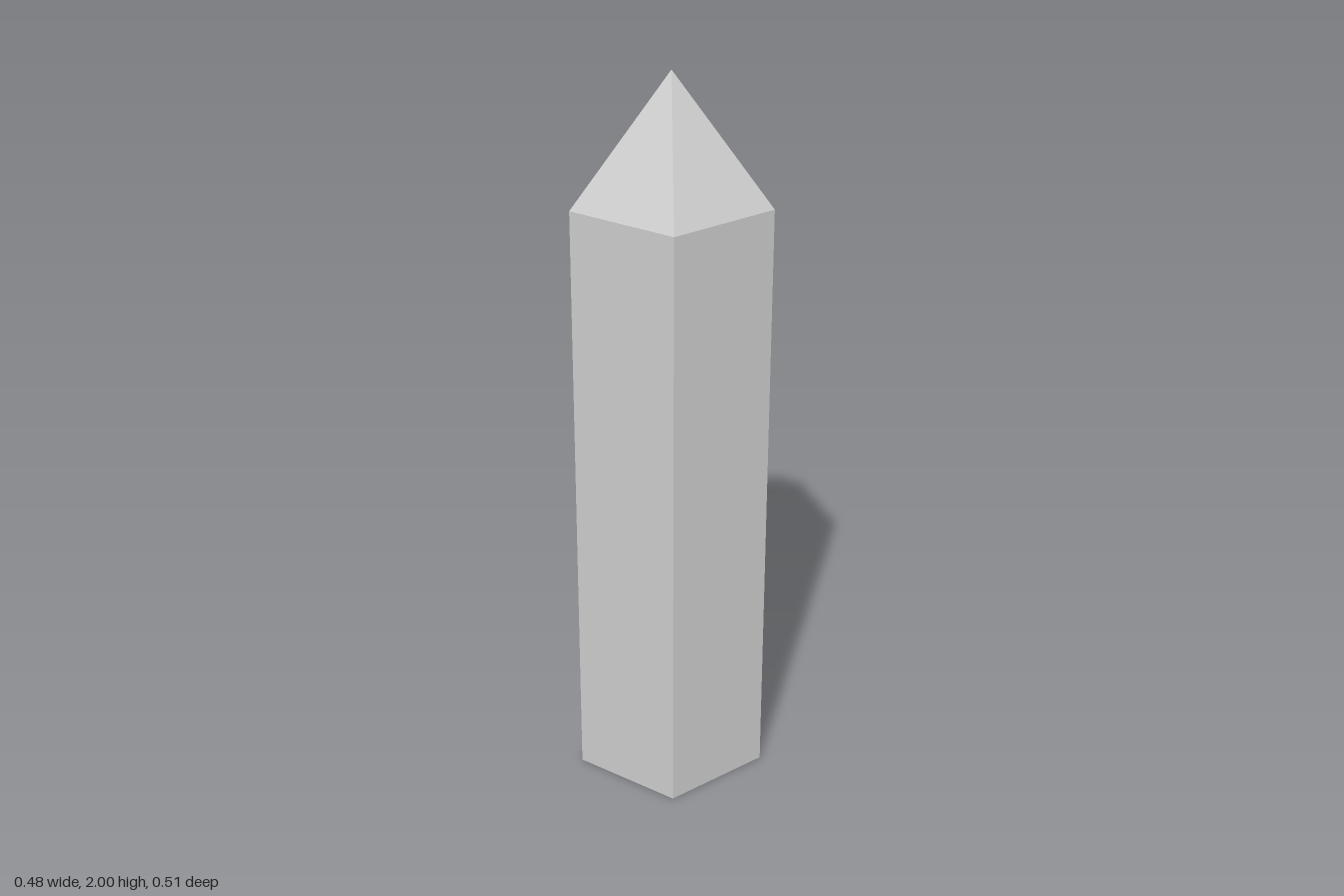
import * as THREE from 'three';

const SIDES = 5;
const RADIUS = 0.268;
const SHAFT_HEIGHT = 1.667;
const TIP_HEIGHT = 0.333;
const AXIS_X = 0.0256; // centres the pentagon's bounds on x = 0
const START = -Math.PI / 2; // one corner points to -x

export function createModel() {
  const group = new THREE.Group();
  group.name = 'crystal';
  const material = new THREE.MeshStandardMaterial({ color: 0xcccccc, flatShading: true });

  const addPart = (name, geometry, y) => {
    const mesh = new THREE.Mesh(geometry, material);
    mesh.name = name;
    mesh.position.set(AXIS_X, y, 0);
    group.add(mesh);
  };

  // Five-sided shaft
  addPart('shaft',
    new THREE.CylinderGeometry(RADIUS, RADIUS, SHAFT_HEIGHT, SIDES, 1, false, START),
    SHAFT_HEIGHT / 2);

  // Pointed tip sharing the shaft's corners
  addPart('tip',
    new THREE.ConeGeometry(RADIUS, TIP_HEIGHT, SIDES, 1, true, START),
    SHAFT_HEIGHT + TIP_HEIGHT / 2);

  return group;
}
